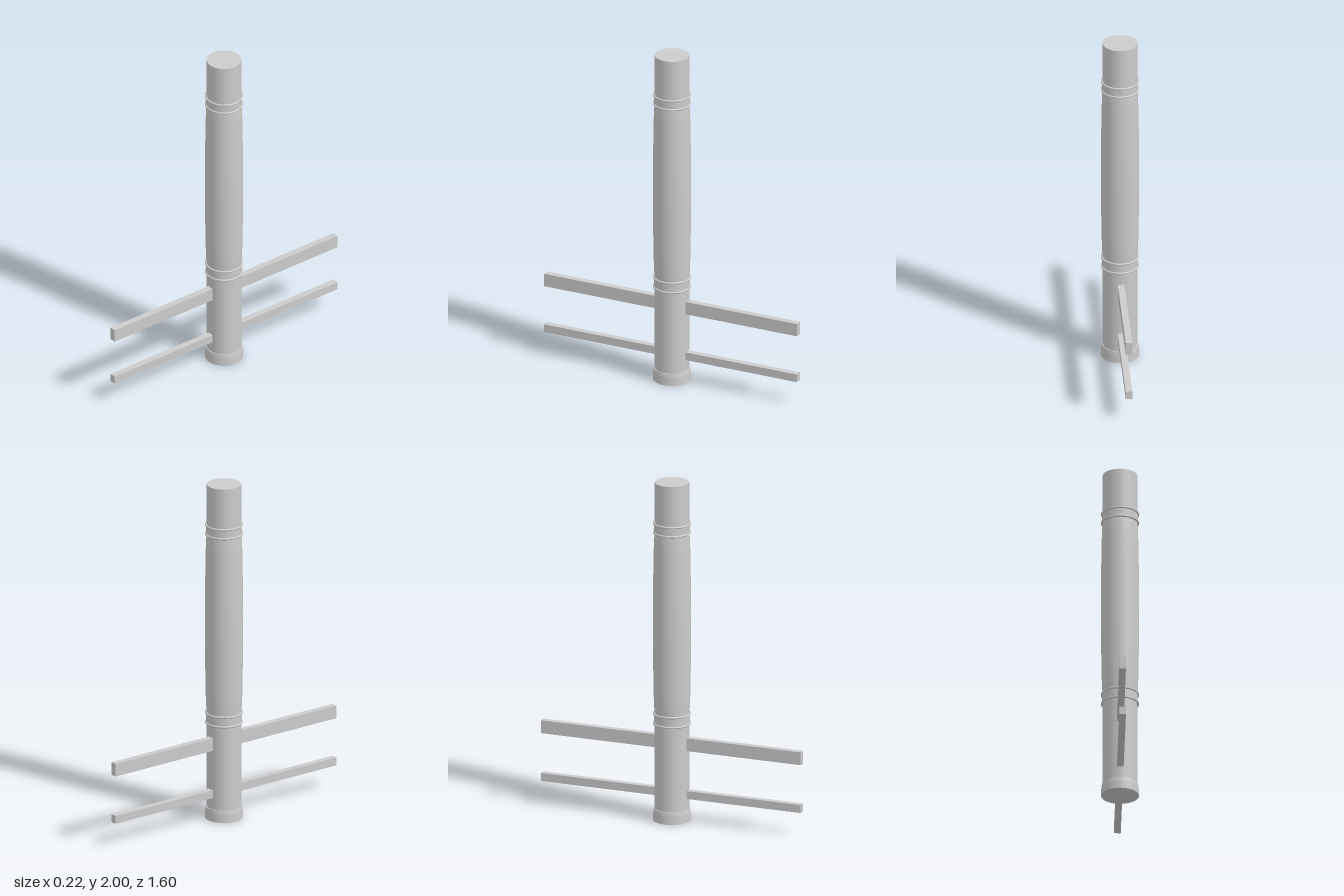
import * as THREE from 'three';

const SEGMENTS = 64;

export function createModel() {
  const group = new THREE.Group();
  const material = new THREE.MeshStandardMaterial({ color: 0xcccccc });

  function add(name, geometry, y = 0) {
    const mesh = new THREE.Mesh(geometry, material);
    mesh.name = name;
    mesh.position.y = y;
    group.add(mesh);
    return mesh;
  }
  const lathe = (points) =>
    new THREE.LatheGeometry(points.map(([r, y]) => new THREE.Vector2(r, y)), SEGMENTS);

  // Straight round post running the full height
  add('post', new THREE.CylinderGeometry(0.098, 0.098, 2, SEGMENTS), 1);

  // Gently swelling grip between the two pairs of rings
  const swell = [];
  for (let i = 0; i <= 20; i++) {
    const t = i / 20;
    swell.push([0.0985 + 0.0095 * Math.sqrt(Math.sin(Math.PI * t)), 0.63 + 1.075 * t]);
  }
  add('grip', lathe(swell));

  // Slightly flared foot with a flat underside and sloped shoulder
  add('footCollar', new THREE.CylinderGeometry(0.106, 0.108, 0.05, SEGMENTS), 0.025);
  add('footShoulder', new THREE.CylinderGeometry(0.103, 0.106, 0.02, SEGMENTS), 0.06);

  // Paired rings with a shallow band between them
  for (const [name, low, high] of [['lower', 0.573, 0.631], ['upper', 1.704, 1.758]]) {
    add(name + 'Band', new THREE.CylinderGeometry(0.102, 0.102, high - low, SEGMENTS), (low + high) / 2);
    for (const y of [low, high]) {
      const ring = new THREE.TorusGeometry(0.103, 0.006, 10, SEGMENTS);
      ring.rotateX(Math.PI / 2);
      add(name + 'Ring', ring, y);
    }
  }

  // Two rails passing through the post from front to back
  add('upperRail', new THREE.BoxGeometry(0.038, 0.076, 1.6), 0.46);
  add('lowerRail', new THREE.BoxGeometry(0.038, 0.047, 1.6), 0.162);

  return group;
}
